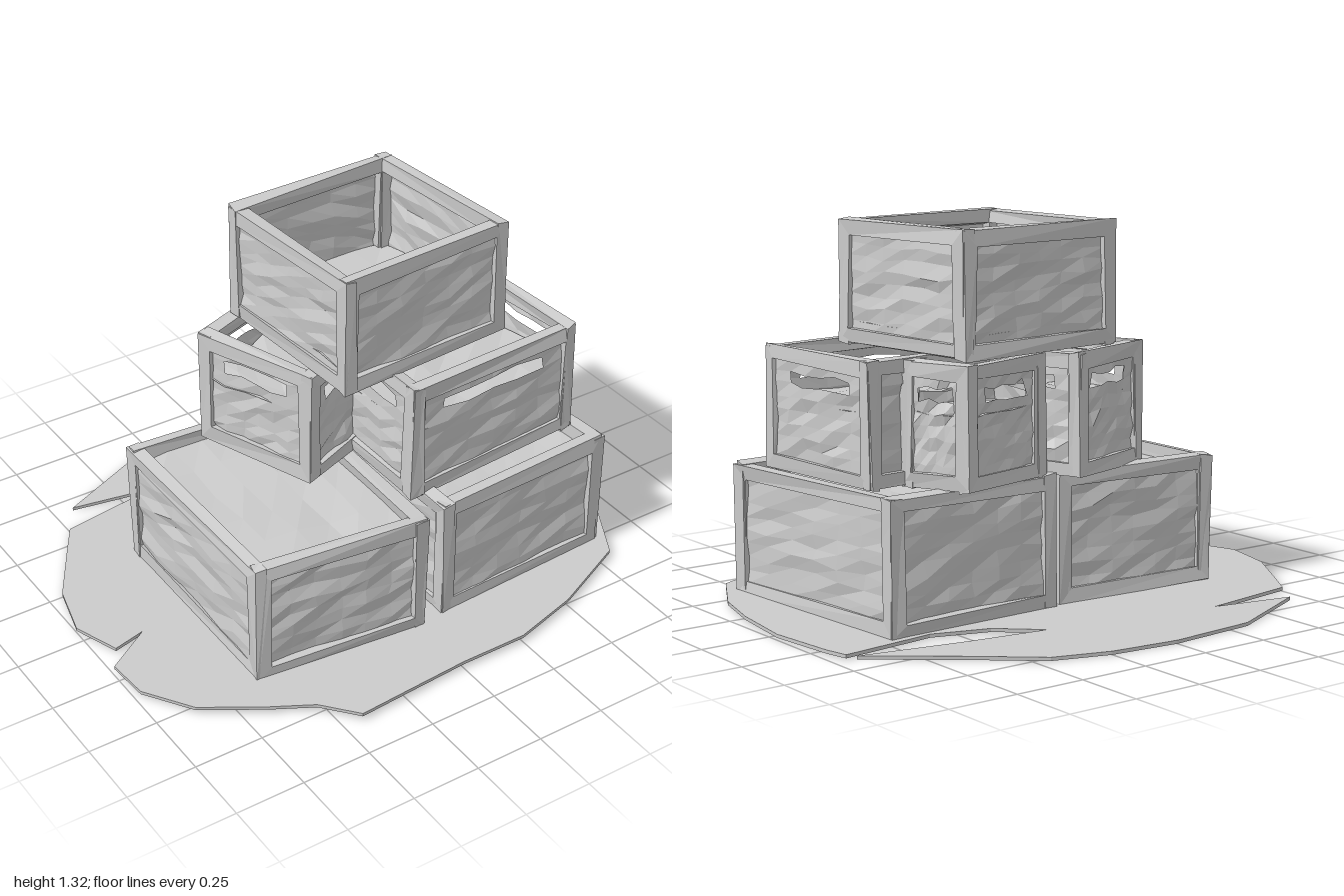
import * as THREE from 'three';

const material = new THREE.MeshStandardMaterial({ color: 0xcccccc, flatShading: true, side: THREE.DoubleSide });

// Repeatable noise in -1..1 from a position
function noise(x, y, z) {
  const s = Math.sin(x * 127.1 + y * 311.7 + z * 74.7) * 43758.5453;
  return (s - Math.floor(s)) * 2 - 1;
}

function part(name, geometry) {
  const mesh = new THREE.Mesh(geometry, material);
  mesh.name = name;
  return mesh;
}

// Dent a geometry; coincident vertices move together
function crumple(geometry, amount, seed) {
  const p = geometry.attributes.position;
  for (let i = 0; i < p.count; i++) {
    const [x, y, z] = [p.getX(i), p.getY(i), p.getZ(i)].map((v) => Math.round(v * 1000) / 1000);
    p.setXYZ(i,
      x + amount * noise(x + seed, y, z),
      y + amount * noise(x, y + seed, z),
      z + amount * noise(x, y, z + seed));
  }
  geometry.computeVertexNormals();
  return geometry;
}

// Rectangle outline, counter-clockwise
function rectangle(Type, x0, y0, x1, y1) {
  const path = new Type();
  path.moveTo(x0, y0);
  path.lineTo(x1, y0);
  path.lineTo(x1, y1);
  path.lineTo(x0, y1);
  path.closePath();
  return path;
}

// Wall: a rim frame with a slightly recessed, dented panel and optional hand slot
function makeWall(length, height, slot, seed) {
  const wall = new THREE.Group();
  wall.name = 'crateWall';
  const b = 0.05, t = 0.045;
  const shape = rectangle(THREE.Shape, 0, 0, length, height);
  shape.holes.push(rectangle(THREE.Path, b, b, length - b, height - b));
  const frame = new THREE.ExtrudeGeometry(shape, { depth: t, bevelEnabled: false });
  frame.translate(0, 0, -t);
  wall.add(part('wallFrame', crumple(frame, 0.007, seed)));

  const cols = 6, rows = 8;
  const panel = new THREE.PlaneGeometry(length - 2 * b + 0.02, height - 2 * b + 0.02, cols, rows);
  panel.translate(length / 2, height / 2, -0.013);
  if (slot) {
    // Leave out the middle cells of the second row from the top
    const kept = [];
    const index = panel.index.array;
    for (let i = 0; i < index.length; i += 6) {
      const cell = i / 6, row = Math.floor(cell / cols), col = cell % cols;
      if (row !== 1 || col < 1 || col > 4) kept.push(...index.slice(i, i + 6));
    }
    panel.setIndex(kept);
  }
  wall.add(part('wallPanel', crumple(panel, 0.008, seed + 3)));
  return wall;
}

// Sheet stretched between four corners (front left, front right, back right, back left)
function makeSheet(name, [fl, fr, br, bl], y, seed) {
  const sheet = new THREE.PlaneGeometry(1, 1, 5, 5);
  const p = sheet.attributes.position;
  const mix = THREE.MathUtils.lerp;
  for (let i = 0; i < p.count; i++) {
    const u = 0.03 + 0.94 * (p.getX(i) + 0.5), v = 0.03 + 0.94 * (p.getY(i) + 0.5);
    p.setXYZ(i, mix(mix(fl[0], fr[0], u), mix(bl[0], br[0], u), v), y,
      mix(mix(fl[1], fr[1], u), mix(bl[1], br[1], u), v));
  }
  return part(name, crumple(sheet, 0.01, seed));
}

function makeCrate({ name, corners, bottom, top, fill, slot }, seed) {
  const crate = new THREE.Group();
  crate.name = name;
  corners.forEach(([x, z], i) => {
    const [nx, nz] = corners[(i + 1) % 4];
    const wall = makeWall(Math.hypot(nx - x, nz - z), top - bottom, slot, seed + i * 0.37);
    wall.position.set(x, bottom, z);
    wall.rotation.y = Math.atan2(z - nz, nx - x);
    crate.add(wall);
  });
  crate.add(makeSheet('crateFloor', corners, bottom + 0.015, seed));
  crate.add(makeSheet('crateFilling', corners, fill, seed + 1));
  return crate;
}

// Ragged ground plate, split towards the back and notched at the side
function makeGroundPlate() {
  const outline = [
    [-0.75, -0.57], [-0.82, -0.46], [-0.95, -0.25], [-1, -0.05], [-0.94, 0.12], [-0.82, 0.09],
    [-0.99, 0.2], [-0.98, 0.36], [-0.87, 0.53], [-0.67, 0.66], [-0.53, 0.74], [-0.43, 0.86],
    [-0.22, 0.845], [0, 0.83], [0.25, 0.83], [0.5, 0.76], [0.8, 0.62], [0.92, 0.4],
    [0.97, 0.2], [1, -0.05], [0.97, -0.3], [0.95, -0.38], [0.6, -0.34], [0.4, -0.4],
    [0.26, -0.52], [0.55, -0.48], [0.93, -0.41], [0.65, -0.62], [0.45, -0.78], [0.25, -0.84],
    [0, -0.865], [-0.33, -0.84], [-0.68, -0.68], [-0.38, -0.625],
  ];
  const shape = new THREE.Shape(outline.map(([x, z]) => new THREE.Vector2(x, -z)));
  const plate = new THREE.ExtrudeGeometry(shape, { depth: 0.012, bevelEnabled: false });
  plate.rotateX(-Math.PI / 2);
  // Slight rise towards the front
  const p = plate.attributes.position;
  for (let i = 0; i < p.count; i++) p.setY(i, p.getY(i) + 0.009 + 0.01 * p.getZ(i));
  plate.computeVertexNormals();
  return part('groundPlate', plate);
}

export function createModel() {
  const model = new THREE.Group();
  model.name = 'crateStack';
  model.add(makeGroundPlate());
  const crates = [
    { name: 'lowerLeftCrate', bottom: 0.015, top: 0.47, fill: 0.425,
      corners: [[-0.625, 0.52], [0.01, 0.595], [0.03, -0.29], [-0.62, -0.33]] },
    { name: 'lowerRightCrate', bottom: 0.015, top: 0.475, fill: 0.42,
      corners: [[0.09, 0.575], [0.805, 0.53], [0.74, -0.33], [0.06, -0.31]] },
    { name: 'middleFrontCrate', bottom: 0.47, top: 0.895, fill: 0.72, slot: true,
      corners: [[0.03, 0.465], [0.75, 0.415], [0.71, -0.165], [0.02, -0.1]] },
    { name: 'middleSideCrate', bottom: 0.47, top: 0.89, fill: 0.72, slot: true,
      corners: [[-0.2, 0.2], [0.2, 0.05], [0.03, -0.4], [-0.365, -0.25]] },
    { name: 'middleBackCrate', bottom: 0.47, top: 0.885, fill: 0.72, slot: true,
      corners: [[0.18, 0.02], [0.57, -0.13], [0.48, -0.395], [0.09, -0.29]] },
    { name: 'topCrate', bottom: 0.895, top: 1.315, fill: 0.97,
      corners: [[-0.165, 0.35], [0.515, 0.305], [0.455, -0.33], [-0.205, -0.3]] },
  ];
  crates.forEach((crate, i) => model.add(makeCrate(crate, i * 1.7 + 0.5)));
  return model;
}
